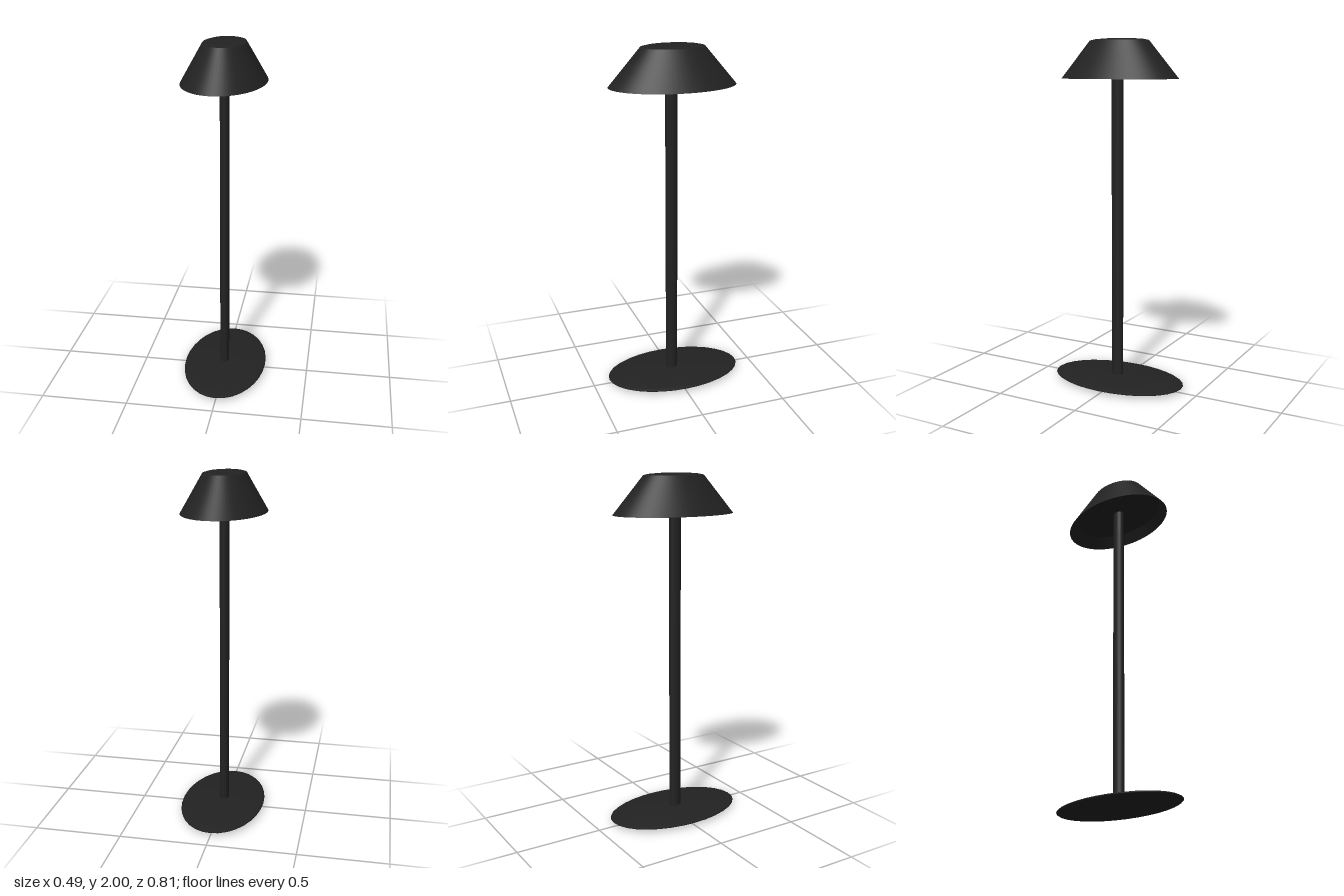
import * as THREE from 'three';

const material = new THREE.MeshStandardMaterial({ color: 0x222222, side: THREE.DoubleSide });

function addPart(parent, name, geometry) {
  const mesh = new THREE.Mesh(geometry, material);
  mesh.name = name;
  parent.add(mesh);
  return mesh;
}

// Elliptical surface of revolution: points are [radius, y], squeezed in x
function ovalLathe(points, xScale, segments = 64) {
  const profile = points.map(([r, y]) => new THREE.Vector2(r, y));
  return new THREE.LatheGeometry(profile, segments).scale(xScale, 1, 1);
}

export function createModel() {
  const lamp = new THREE.Group();
  lamp.name = 'tableLamp';

  // Thin oval lens-shaped foot
  const foot = new THREE.SphereGeometry(1, 32, 16).scale(0.245, 0.0215, 0.405);
  addPart(lamp, 'base', foot).position.y = 0.0225;

  // Slim oval pole, ending at the inner plate of the shade
  const pole = new THREE.CylinderGeometry(1, 1, 1.82, 32).scale(0.027, 1, 0.035);
  addPart(lamp, 'pole', pole).position.set(-0.004, 0.93, 0.009);

  // Oval shade, turned very slightly on the pole
  const shade = new THREE.Group();
  shade.name = 'shade';
  shade.position.set(-0.006, 0, 0);
  shade.rotation.y = -0.05;
  lamp.add(shade);

  addPart(shade, 'shadeWall', ovalLathe([[0.358, 1.777], [0.179, 1.987]], 0.653));
  addPart(shade, 'shadeTop', ovalLathe(
    [[0.179, 1.987], [0.15, 1.993], [0.1, 1.997], [0.05, 1.999], [0, 2]], 0.653));
  // Plate recessed inside the open underside
  addPart(shade, 'innerPlate', ovalLathe([[0, 1.84], [0.304, 1.84]], 0.653));

  return lamp;
}
